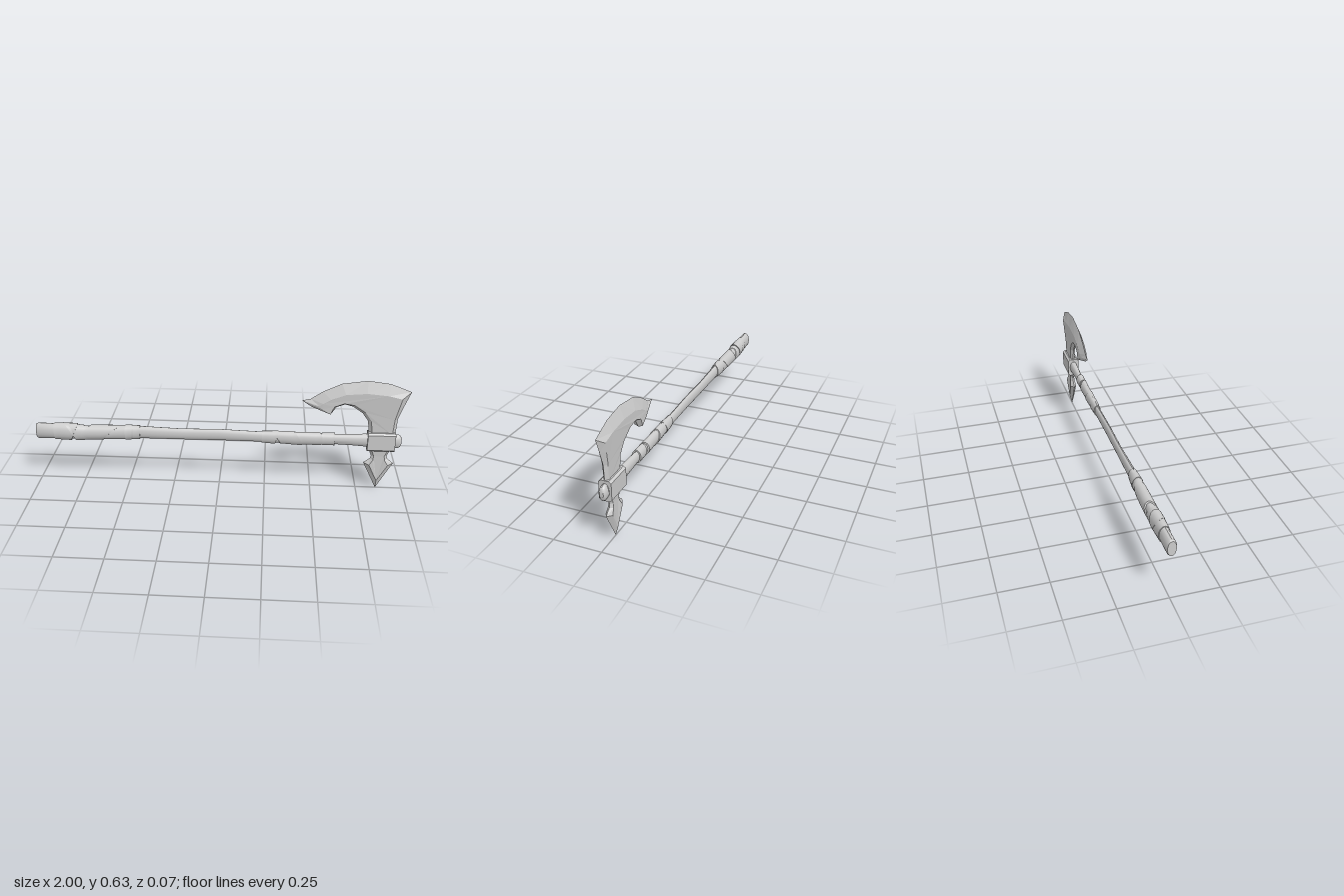
import * as THREE from 'three';
import { toCreasedNormals } from 'three/addons/utils/BufferGeometryUtils.js';

const smooth = new THREE.MeshStandardMaterial({ color: 0xcccccc });
const faceted = new THREE.MeshStandardMaterial({ color: 0xcccccc, flatShading: true });

function makeGeometry(positions, index) {
  const g = new THREE.BufferGeometry();
  g.setAttribute('position', new THREE.Float32BufferAttribute(positions, 3));
  g.setIndex(index);
  g.computeVertexNormals();
  return g;
}

// Capped skin over elliptical rings [x, centreY, radiusY, radiusZ, slantY, slantZ]
function loft(rings, sides = 16) {
  const pos = [], idx = [];
  for (const [x, cy, ry, rz, slantY = 0, slantZ = 0] of rings) {
    for (let j = 0; j < sides; j++) {
      const a = (j / sides) * Math.PI * 2, c = Math.cos(a), s = Math.sin(a);
      pos.push(x + slantY * c + slantZ * s, cy + ry * c, rz * s);
    }
  }
  const last = (rings.length - 1) * sides, centre = rings.length * sides;
  pos.push(rings[0][0], rings[0][1], 0, rings.at(-1)[0], rings.at(-1)[1], 0);
  for (let j = 0; j < sides; j++) {
    const k = (j + 1) % sides;
    for (let r = 0; r < last; r += sides) {
      idx.push(r + j, r + k, r + sides + j, r + k, r + sides + k, r + sides + j);
    }
    idx.push(centre, k, j, centre + 1, last + j, last + k);
  }
  return toCreasedNormals(makeGeometry(pos, idx), 0.65);
}

// Double-sided bevelled plate: rows [outerX, outerY, innerX, innerY, innerZ], counter-clockwise
function bevelledPlate(rows) {
  const n = rows.length, pos = [], idx = [];
  rows.forEach(([x, y]) => pos.push(x, y, 0));
  for (const side of [1, -1]) rows.forEach(([, , x, y, z]) => pos.push(x, y, z * side));
  const flats = THREE.ShapeUtils.triangulateShape(
    rows.map(([, , x, y]) => new THREE.Vector2(x, y)), []);
  for (let i = 0; i < n; i++) {
    const k = (i + 1) % n;
    idx.push(i, k, n + k, i, n + k, n + i);
    idx.push(k, i, 2 * n + k, i, 2 * n + i, 2 * n + k);
  }
  for (const [a, b, c] of flats) {
    idx.push(n + a, n + b, n + c, 2 * n + a, 2 * n + c, 2 * n + b);
  }
  return makeGeometry(pos, idx);
}

// Handle stations: x, centreY, radiusY, radiusZ
const HANDLE = [
  [-1, 0.29, 0.041, 0.022], [-0.99, 0.29, 0.046, 0.026], [-0.87, 0.29, 0.044, 0.026],
  [-0.72, 0.288, 0.038, 0.026], [-0.58, 0.292, 0.036, 0.024], [-0.43, 0.298, 0.036, 0.019],
  [-0.2, 0.294, 0.032, 0.015], [0, 0.297, 0.033, 0.015], [0.2, 0.293, 0.03, 0.015],
  [0.4, 0.29, 0.032, 0.017], [0.62, 0.291, 0.029, 0.017], [0.72, 0.291, 0.033, 0.02],
  [0.8, 0.29, 0.038, 0.022], [0.94, 0.29, 0.038, 0.022],
];

function handleAt(x) {
  let i = 0;
  while (i < HANDLE.length - 2 && HANDLE[i + 1][0] < x) i++;
  const t = (x - HANDLE[i][0]) / (HANDLE[i + 1][0] - HANDLE[i][0]);
  return HANDLE[i].map((v, k) => THREE.MathUtils.lerp(v, HANDLE[i + 1][k], t));
}

// Leather strap around the handle; each end may lean
function wrap([x0, x1, grow0, grow1, lean0 = 0, lean1 = 0, twist = 0]) {
  const rings = [];
  for (let i = 0; i <= 4; i++) {
    const t = i / 4, [x, cy, ry, rz] = handleAt(THREE.MathUtils.lerp(x0, x1, t));
    const grow = THREE.MathUtils.lerp(grow0, grow1, t);
    rings.push([x, cy, ry + grow, rz + grow, THREE.MathUtils.lerp(lean0, lean1, t), twist]);
  }
  return loft(rings);
}

export function createModel() {
  const group = new THREE.Group();
  const add = (name, geometry, material = smooth) => {
    const mesh = new THREE.Mesh(geometry, material);
    mesh.name = name;
    group.add(mesh);
    return mesh;
  };

  add('handle', loft(HANDLE));

  // Lower and upper grip straps
  const grips = {
    lowerGripWrap: [
      [-0.9, -0.79, 0.004, 0.009, 0, 0.02],
      [-0.82, -0.71, 0.009, 0.003, -0.03, -0.025, 0.02],
      [-0.73, -0.58, 0.006, 0.007, 0.03, 0.045, -0.02],
      [-0.62, -0.48, 0.005, 0.006, 0.04, 0, 0.015],
      [-0.51, -0.43, 0.008, 0.004],
    ],
    upperGripWrap: [
      [0.23, 0.31, 0.004, 0.007, 0, 0.01],
      [0.3, 0.42, 0.004, 0.008, -0.025, -0.02, 0.015],
      [0.41, 0.54, 0.004, 0.007, -0.02, 0, 0.015],
      [0.55, 0.62, 0.005, 0.007],
    ],
  };
  for (const [name, straps] of Object.entries(grips)) {
    straps.forEach((s, i) => add(name + (i + 1), wrap(s)));
  }

  // Chamfered socket block holding the head
  const section = new THREE.Shape([
    [-0.022, 0.236], [0.022, 0.236], [0.032, 0.246], [0.032, 0.333],
    [0.02, 0.342], [-0.02, 0.342], [-0.032, 0.333], [-0.032, 0.246],
  ].map(([z, y]) => new THREE.Vector2(z, y)));
  const socket = new THREE.ExtrudeGeometry(section, { depth: 0.146, bevelEnabled: false });
  socket.rotateY(Math.PI / 2).translate(0.792, 0, 0);
  add('socket', socket, faceted);

  // Rounded handle end showing past the socket
  add('endKnob', loft([
    [0.93, 0.289, 0.04, 0.02], [0.955, 0.289, 0.04, 0.02],
    [0.966, 0.289, 0.034, 0.017], [0.973, 0.289, 0.02, 0.01],
  ]));

  // Curved blade with hooked beard
  add('blade', bevelledPlate([
    [0.937, 0.33, 0.92, 0.33, 0.013], [0.942, 0.42, 0.925, 0.42, 0.015],
    [0.969, 0.5, 0.94, 0.49, 0.019], [0.998, 0.577, 0.952, 0.543, 0.022],
    [0.889, 0.619, 0.88, 0.56, 0.022], [0.77, 0.634, 0.77, 0.57, 0.022],
    [0.638, 0.614, 0.66, 0.56, 0.022], [0.54, 0.566, 0.585, 0.53, 0.022],
    [0.48, 0.524, 0.545, 0.505, 0.021], [0.435, 0.513, 0.525, 0.49, 0.018],
    [0.488, 0.478, 0.54, 0.475, 0.02], [0.59, 0.438, 0.587, 0.446, 0.022],
    [0.617, 0.48, 0.605, 0.49, 0.022], [0.66, 0.497, 0.655, 0.51, 0.022],
    [0.702, 0.486, 0.711, 0.5, 0.02], [0.755, 0.45, 0.77, 0.459, 0.017],
    [0.787, 0.406, 0.803, 0.41, 0.014], [0.798, 0.33, 0.815, 0.33, 0.013],
  ]), faceted);

  // Arrow-shaped rear spike: right half mirrored to the left
  const mid = 0.862;
  const half = [
    [0.08, 0.155, 0.05, 0.148, 0.018], [0.046, 0.182, 0.031, 0.176, 0.014],
    [0.042, 0.2, 0.028, 0.2, 0.011], [0.062, 0.245, 0.046, 0.245, 0.013],
  ];
  const place = (s) => ([ox, oy, ix, iy, z]) => [mid + s * ox, oy, mid + s * ix, iy, z];
  add('spike', bevelledPlate([
    [mid - 0.003, 0, mid - 0.003, 0.05, 0.014],
    ...half.map(place(1)),
    ...[...half].reverse().map(place(-1)),
  ]), faceted);

  return group;
}
